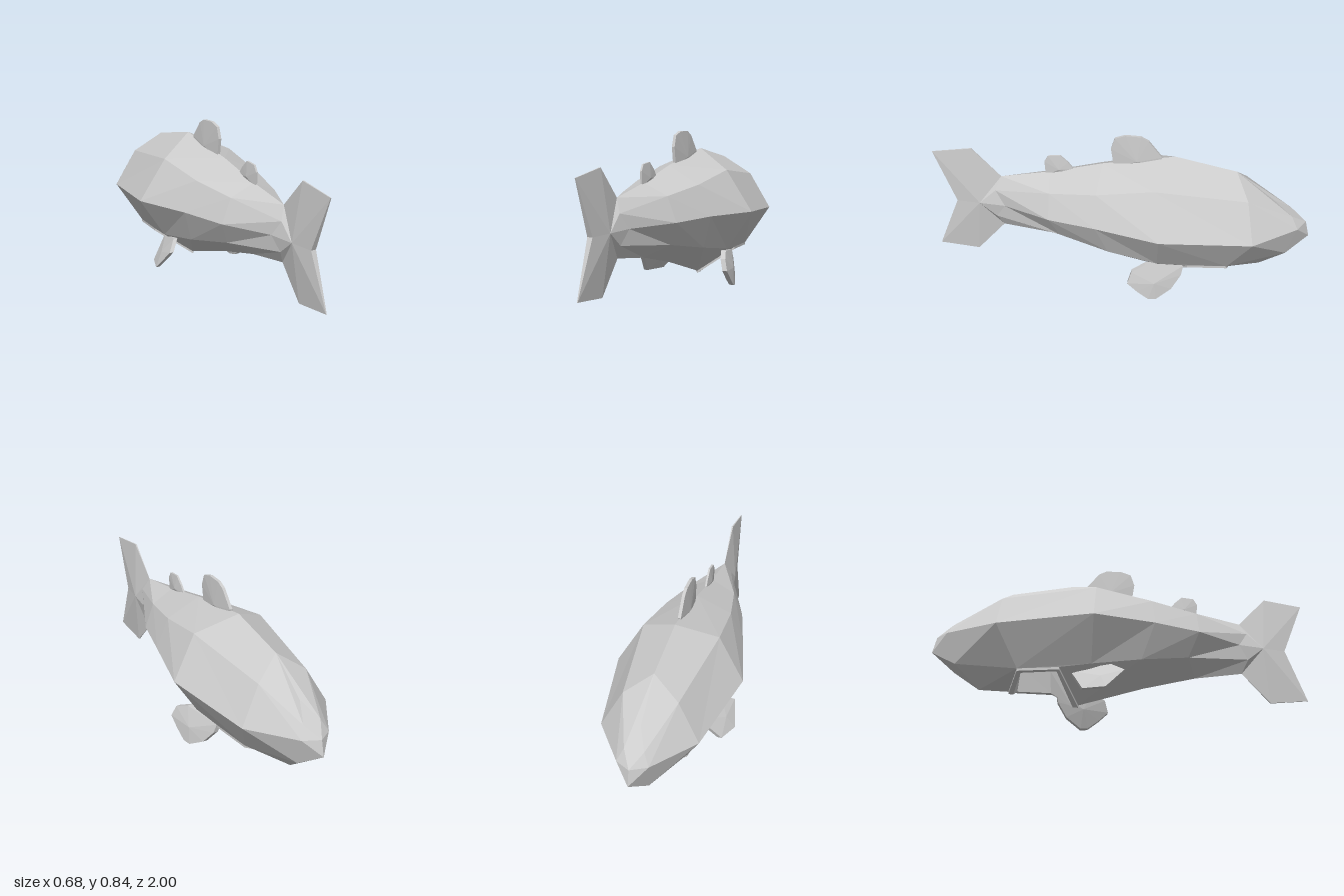
import * as THREE from 'three';

const material = new THREE.MeshStandardMaterial({ color: 0xcccccc, flatShading: true });

// Mesh from a list of [x, y, z] corners, three per triangle
function mesh(name, corners) {
  const geometry = new THREE.BufferGeometry();
  geometry.setAttribute('position', new THREE.Float32BufferAttribute(corners.flat(), 3));
  geometry.computeVertexNormals();
  const m = new THREE.Mesh(geometry, material);
  m.name = name;
  return m;
}

const same = (a, b) => a.every((v, i) => v === b[i]);
function tri(out, a, b, c) {
  if (!same(a, b) && !same(b, c) && !same(a, c)) out.push(a, b, c);
}
function quad(out, a, b, c, d) {
  tri(out, a, b, c);
  tri(out, a, c, d);
}
const flip = ([x, y, z]) => [-x, y, z];

// The same triangle on both sides of the fish
function pair(out, a, b, c) {
  tri(out, a, b, c);
  tri(out, flip(c), flip(b), flip(a));
}

// Half sections from tail root to nose: ridge, shoulder, flank, lower edge, keel
const sections = [
  [[0, .58, .64], [.032, .51, .67], [.055, .43, .62], [.035, .355, .67], [0, .285, .64]],
  [[0, .62, .38], [.13, .56, .37], [.18, .43, .37], [.12, .305, .32], [0, .24, .38]],
  [[0, .68, .1], [.18, .59, .12], [.25, .43, .12], [.18, .25, .06], [0, .163, .1]],
  [[0, .735, -.28], [.202, .635, -.18], [.338, .413, -.21], [.2, .2, -.2], [0, .048, -.24]],
  [[0, .66, -.6], [.14, .56, -.66], [.25, .365, -.69], [.15, .168, -.57], [0, .1, -.6]],
  [[0, .5, -.8], [.05, .43, -.9], [.08, .37, -.93], [.06, .21, -.88], [0, .1, -.75]],
  [[0, .375, -.98], [0, .375, -.98], [0, .375, -.98], [0, .29, -1], [0, .29, -1]],
];
const mouthCorner = [.175, .18, -.36];

function body() {
  const out = [];
  for (let i = 0; i < sections.length - 1; i++) {
    for (let j = 0; j < 4; j++) {
      const [a, b, c, d] = [sections[i][j], sections[i][j + 1], sections[i + 1][j + 1], sections[i + 1][j]];
      if (i === 3 && j === 3) {
        // leave an opening under the head
        pair(out, a, b, mouthCorner);
        pair(out, a, mouthCorner, d);
      } else {
        pair(out, a, b, c);
        pair(out, a, c, d);
      }
    }
  }
  return mesh('body', out);
}

// Lip and hollow around the opening under the head
function mouth() {
  const out = [];
  const [keelBack, side, keelFront] = [sections[3][4], sections[4][3], sections[4][4]];
  const rim = [keelBack, mouthCorner, side, keelFront, flip(side), flip(mouthCorner)];
  const loop = (scale, height) => rim.map(([x, y, z]) => [x * scale, height(y), -.43 + (z + .43) * scale]);
  const loops = [
    rim,
    loop(1, (y) => y - .013),
    loop(.85, (y) => y - .013),
    loop(.75, (y) => .25 + y * .2),
    loop(0, () => .32),
  ];
  for (let k = 0; k < loops.length - 1; k++) {
    for (let i = 0; i < 6; i++) {
      const n = (i + 1) % 6;
      quad(out, loops[k][i], loops[k + 1][i], loops[k + 1][n], loops[k][n]);
    }
  }
  return mesh('mouth', out);
}

// Forked tail growing out of the last body section
function tail() {
  const out = [];
  const [ridge, shoulder, flank, lower, keel] = sections[0];
  const edge = [
    ridge, [.004, .74, .79], [.002, .715, 1], [.014, .43, .885], [.002, .15, 1], [.004, .125, .79], keel,
  ];
  const ring = [...edge, lower, flank, shoulder];
  const centre = [.034, .43, .76];
  ring.forEach((p, i) => {
    const q = ring[(i + 1) % ring.length];
    pair(out, centre, p, q);
    if (i < edge.length - 1) quad(out, p, flip(p), flip(q), q);
  });
  return mesh('tailFin', out);
}

// Fin from a [z, y] outline: thin at the edge, thicker at a middle point.
// offset(z, y) places and leans it sideways.
function fin(name, outline, edge, middle, thick, offset = () => 0) {
  const out = [];
  const area = outline.reduce((s, [z, y], i) => {
    const [z2, y2] = outline[(i + 1) % outline.length];
    return s + z * y2 - z2 * y;
  }, 0);
  const ring = area < 0 ? outline : [...outline].reverse();
  const at = ([z, y], x) => [x + offset(z, y), y, z];
  ring.forEach((p, i) => {
    const q = ring[(i + 1) % ring.length];
    tri(out, at(middle, thick), at(p, edge), at(q, edge));
    tri(out, at(middle, -thick), at(q, -edge), at(p, -edge));
    quad(out, at(p, edge), at(p, -edge), at(q, -edge), at(q, edge));
  });
  return mesh(name, out);
}

export function createModel() {
  const group = new THREE.Group();
  group.name = 'fish';
  group.add(body(), mouth(), tail());

  // Fins on the back
  group.add(fin('frontDorsalFin', [
    [.04, .67], [.055, .77], [.035, .83], [-.02, .847], [-.1, .842], [-.14, .82], [-.21, .73], [-.2, .68],
  ], .008, [-.08, .705], .02));
  group.add(fin('rearDorsalFin', [
    [.4, .6], [.405, .68], [.385, .713], [.32, .718], [.28, .68], [.25, .64], [.26, .62],
  ], .005, [.33, .64], .015));

  // Paired fins flare outward to the rear, each posed differently
  group.add(fin('leftPectoralFin', [
    [-.34, .17], [-.14, .2], [-.07, .17], [-.05, .11], [-.1, .06], [-.16, .01], [-.2, .003], [-.28, .05], [-.33, .12],
  ], .014, [-.19, .1], .03, (z, y) => .247 + .3 * z + .24 * (.2 - y)));
  group.add(fin('rightPectoralFin', [
    [-.3, .18], [-.1, .205], [-.04, .155], [-.14, .045], [-.25, .045], [-.28, .13],
  ], .012, [-.16, .12], .024, (z, y) => -(.23 + .4 * z + .65 * (.2 - y))));
  return group;
}
